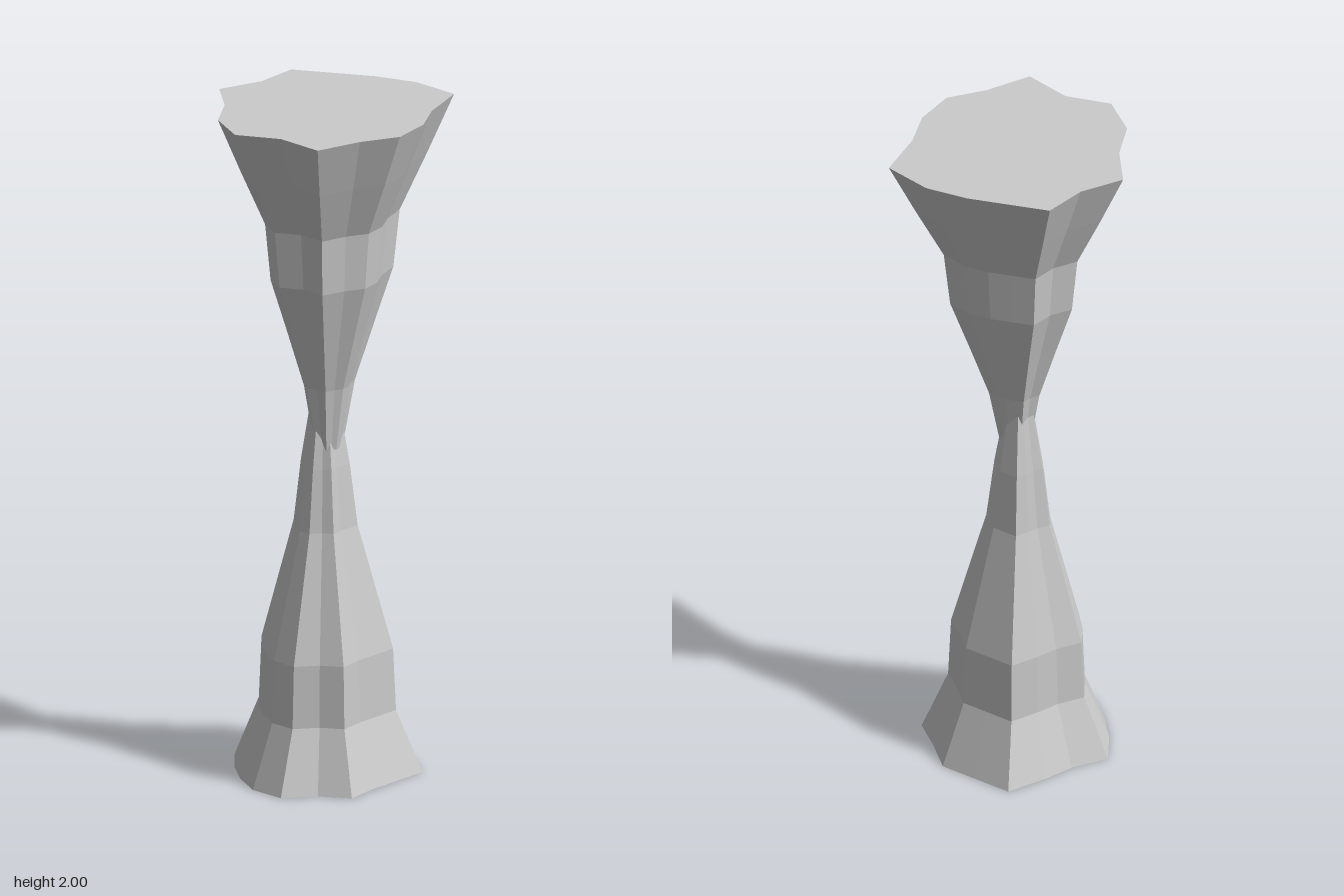
import * as THREE from 'three';

// Outline radii every 22.5 degrees, starting at +x and turning towards +z
const upperRadii = [0.316, 0.297, 0.356, 0.29, 0.345, 0.327, 0.293, 0.345,
  0.29, 0.335, 0.29, 0.295, 0.33, 0.377, 0.297, 0.305];
const lowerRadii = [0.215, 0.255, 0.225, 0.27, 0.265, 0.25, 0.255, 0.285,
  0.235, 0.25, 0.305, 0.27, 0.28, 0.255, 0.28, 0.225];

// Profiles as [scale, height], bottom to top
const upperProfile = [[0.12, 0.98], [0.215, 1.17], [0.37, 1.34], [0.52, 1.5],
  [0.57, 1.67], [0.79, 1.835], [1, 2]];
const lowerProfile = [[1, 0], [0.73, 0.185], [0.7, 0.37], [0.52, 0.555],
  [0.34, 0.74], [0.26, 0.925], [0.15, 1.11]];

// Lathe a capped profile, then push each column of vertices to its own radius
function ruggedCone(name, profile, radii, material) {
  const sides = radii.length;
  const points = [[0, profile[0][1]], ...profile, [0, profile[profile.length - 1][1]]]
    .map(([r, y]) => new THREE.Vector2(r, y));
  const geometry = new THREE.LatheGeometry(points, sides);
  const pos = geometry.attributes.position;
  for (let i = 0; i < pos.count; i++) {
    const column = Math.floor(i / points.length);
    // The lathe starts at +z and turns towards +x
    const radius = radii[(sides / 4 - column + 2 * sides) % sides];
    pos.setX(i, pos.getX(i) * radius);
    pos.setZ(i, pos.getZ(i) * radius);
  }
  const flat = geometry.toNonIndexed();
  flat.computeVertexNormals();
  const mesh = new THREE.Mesh(flat, material);
  mesh.name = name;
  return mesh;
}

export function createModel() {
  const group = new THREE.Group();
  group.name = 'rockColumn';
  const rock = new THREE.MeshStandardMaterial({ color: 0xcccccc, flatShading: true });

  // Hanging half and standing half, meeting at a narrow waist
  const stalactite = ruggedCone('stalactite', upperProfile, upperRadii, rock);
  const stalagmite = ruggedCone('stalagmite', lowerProfile, lowerRadii, rock);
  stalagmite.position.x = -0.015;
  group.add(stalactite, stalagmite);
  return group;
}
